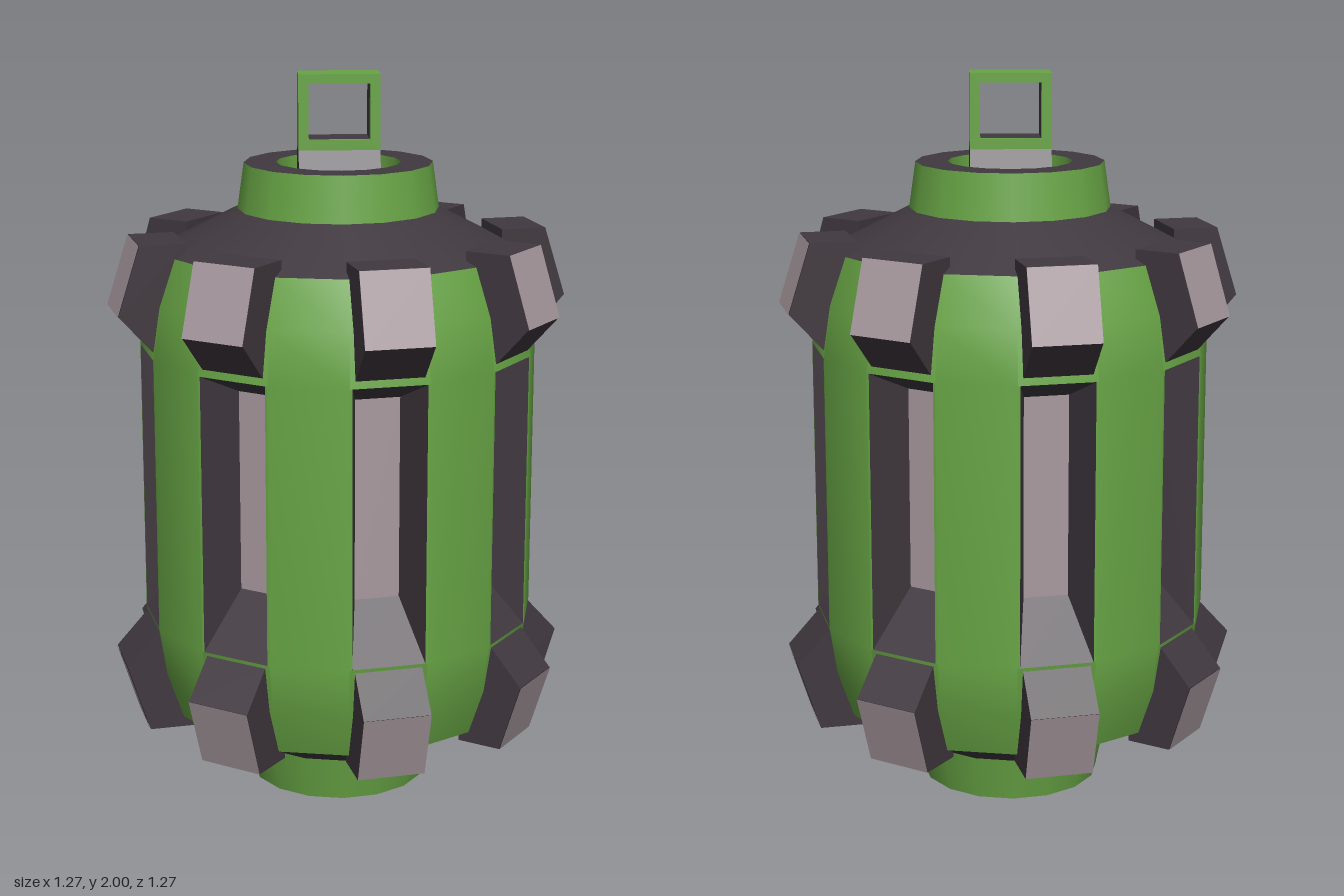
import * as THREE from 'three';

const green = new THREE.MeshStandardMaterial({ color: 0x68a545 });
green.name = 'green paint';
const dark = new THREE.MeshStandardMaterial({ color: 0x40383f });
dark.name = 'dark metal';
const pale = new THREE.MeshStandardMaterial({ color: 0xa8999f });
pale.name = 'pale metal';

const SIDES = 16;
const STEP = (Math.PI * 2) / SIDES;
const MID = 0.885;

function add(parent, name, geometry, material) {
  const mesh = new THREE.Mesh(geometry, material);
  mesh.name = name;
  parent.add(mesh);
  return mesh;
}

// Lathe from [radius, y] pairs; covers the full circle or a single panel
function turned(points, panel = null) {
  const pts = points.map(([r, y]) => new THREE.Vector2(r, y));
  return panel === null
    ? new THREE.LatheGeometry(pts, SIDES)
    : new THREE.LatheGeometry(pts, 1, panel * STEP, STEP);
}

// Flat quads, corners counter-clockwise as seen from the front
function quads(list) {
  const pos = [];
  for (const [a, b, c, d] of list) pos.push(...a, ...b, ...c, ...a, ...c, ...d);
  const g = new THREE.BufferGeometry();
  g.setAttribute('position', new THREE.Float32BufferAttribute(pos, 3));
  g.computeVertexNormals();
  return g;
}

// Rectangle corners from lower left, counter-clockwise
const rect = (w, y0, y1, z) => [[-w, y0, z], [w, y0, z], [w, y1, z], [-w, y1, z]];

// Four walls joining a front loop to a loop behind it, facing into the opening
const innerWalls = (front, back) =>
  front.map((p, i) => [p, front[(i + 1) % 4], back[(i + 1) % 4], back[i]]);

function outline(points) {
  return new THREE.Shape(points.map(([x, y]) => new THREE.Vector2(x, y)));
}

export function createModel() {
  const model = new THREE.Group();
  model.name = 'canister';

  // Body shell: plain panels alternate with windowed ones
  const lower = [[0.48, 0.23], [0.525, 0.36], [0.547, 0.5]];
  const upper = [[0.547, 1.26], [0.525, 1.4], [0.48, 1.53]];
  const apothem = 0.547 * Math.cos(STEP / 2);
  const half = 0.547 * Math.sin(STEP / 2);
  const opening = rect(0.1, 0.5, 1.26, apothem);
  const plate = rect(0.061, 0.65, 1.2, 0.412);
  const jamb = (x0, x1) => [
    [x0, 0.5, apothem], [x1, 0.5, apothem], [x1, 1.26, apothem], [x0, 1.26, apothem]];
  const wallGeo = quads(innerWalls(opening, plate));
  const plateGeo = quads([plate]);
  const jambGeo = quads([jamb(-half, -0.1), jamb(0.1, half)]);

  // Clamp block: side profile as [distance from axis, height from body middle]
  const W = 0.092;
  const profile = [[0.44, 0.685], [0.44, 0.395], [0.535, 0.395], [0.625, 0.495], [0.565, 0.685]];
  const strip = (i) => {
    const [d0, y0] = profile[i], [d1, y1] = profile[(i + 1) % profile.length];
    return [[-W, y0, d0], [W, y0, d0], [W, y1, d1], [-W, y1, d1]];
  };
  const blockSides = new THREE.ExtrudeGeometry(outline(profile), { depth: 2 * W, bevelEnabled: false });
  blockSides.translate(0, 0, -W).rotateY(-Math.PI / 2);
  const faceGeo = quads([strip(3)]).translate(0, 0, 0.002);

  for (let i = 0; i < SIDES; i++) {
    if (i % 2) {
      add(model, 'plainPanel', turned([...lower, ...upper], i), green);
      continue;
    }
    const angle = (i + 0.5) * STEP;
    add(model, 'lowerWindowPanel', turned(lower, i), green);
    add(model, 'upperWindowPanel', turned(upper, i), green);
    const windowGroup = new THREE.Group();
    windowGroup.name = 'window';
    windowGroup.rotation.y = angle;
    add(windowGroup, 'windowJambs', jambGeo, green);
    add(windowGroup, 'windowWalls', wallGeo, dark);
    add(windowGroup, 'windowPlate', plateGeo, pale);
    model.add(windowGroup);

    // Upper block, and the same block turned over for the lower one
    for (const flip of [0, Math.PI]) {
      const block = new THREE.Group();
      block.name = flip ? 'lowerBlock' : 'upperBlock';
      block.position.y = MID;
      block.rotation.set(0, angle, flip);
      add(block, 'blockSides', blockSides, dark);
      add(block, 'blockFace', faceGeo, pale);
      model.add(block);
    }
  }

  // Shoulders and necks
  add(model, 'upperShoulder', turned([[0.48, 1.53], [0.275, 1.635]]), dark);
  add(model, 'lowerShoulder', turned([[0.275, 0.125], [0.48, 0.23]]), dark);
  add(model, 'upperNeck', turned([[0.275, 1.635], [0.257, 1.76]]), green);
  add(model, 'lowerNeck', turned([[0.25, 0], [0.275, 0.125]]), green);
  add(model, 'bottomDisc', turned([[0, 0], [0.25, 0]]), dark);

  // Recessed top
  add(model, 'topRim', turned([[0.257, 1.76], [0.17, 1.76]]), dark);
  add(model, 'recessWall', turned([[0.17, 1.76], [0.17, 1.69]]), green);
  add(model, 'recessFloor', turned([[0.17, 1.69], [0, 1.69]]), dark);

  // Handle on a wedge-shaped base
  const base = new THREE.ExtrudeGeometry(
    outline([[-0.11, 1.69], [0.11, 1.69], [0.05, 1.797], [-0.05, 1.797]]),
    { depth: 0.22, bevelEnabled: false });
  base.translate(0, 0, -0.11).rotateY(Math.PI / 2);
  add(model, 'handleBase', base, dark);

  const loop = outline([[-0.11, 1.797], [0.11, 1.797], [0.11, 2], [-0.11, 2]]);
  loop.holes.push(outline([[-0.083, 1.825], [-0.083, 1.975], [0.083, 1.975], [0.083, 1.825]]));
  const handle = new THREE.ExtrudeGeometry(loop, { depth: 0.1, bevelEnabled: false });
  add(model, 'handle', handle.translate(0, 0, -0.05), green);
  const lining = innerWalls(rect(0.081, 1.827, 1.973, 0.05), rect(0.081, 1.827, 1.973, -0.05));
  add(model, 'handleLining', quads(lining), dark);

  return model;
}
